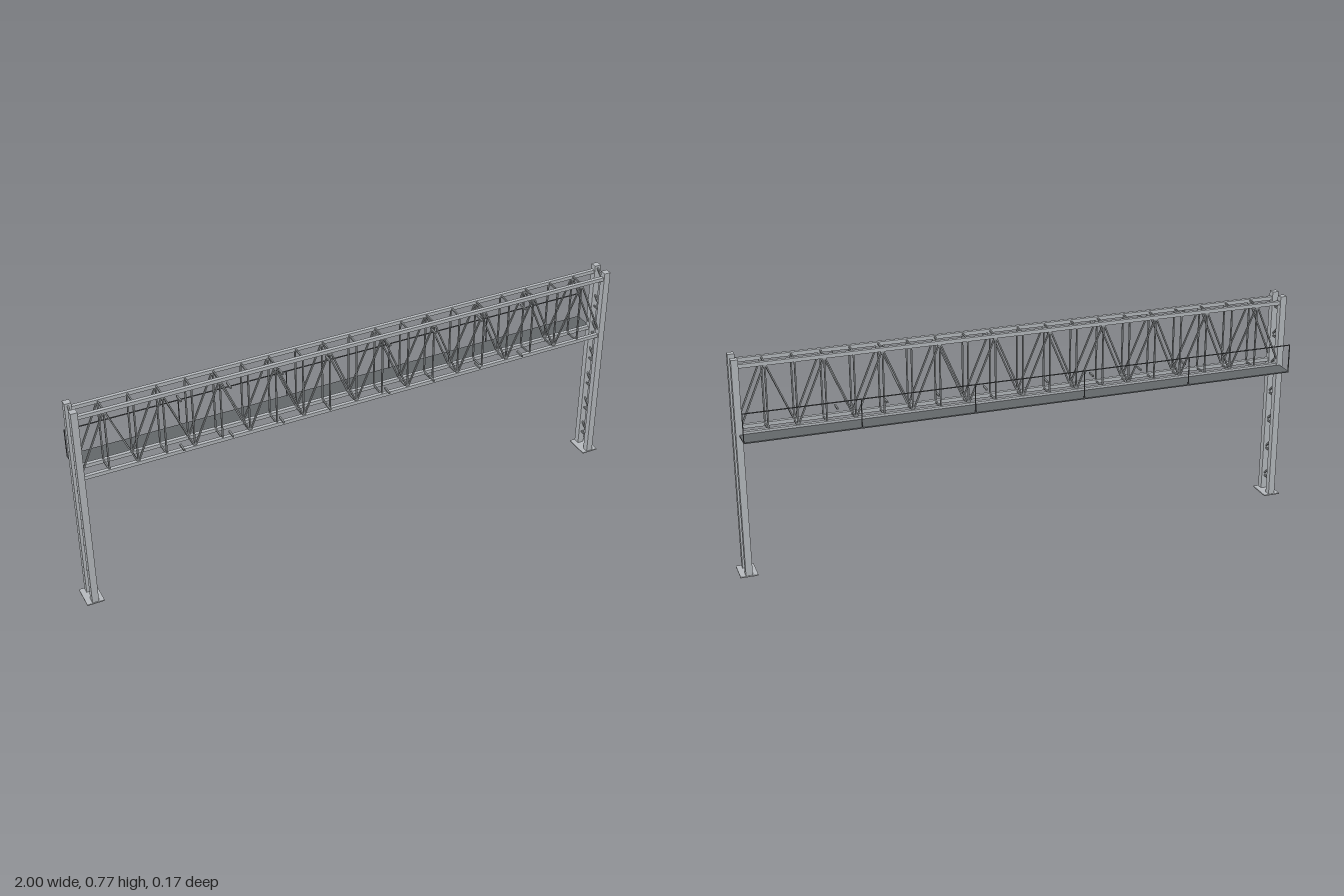
import * as THREE from 'three';

const mat = (name, color) => {
  const m = new THREE.MeshStandardMaterial({ color });
  m.name = name;
  return m;
};

export function createModel() {
  const model = new THREE.Group();
  model.name = 'overheadGantry';
  const steel = mat('galvanised steel', 0xb8bcc0);
  const webbing = mat('bracing steel', 0x8e9294);
  const grating = mat('walkway grating', 0x64686b);
  const railing = mat('railing steel', 0x64676a);

  const group = (name) => {
    const g = new THREE.Group();
    g.name = name;
    model.add(g);
    return g;
  };
  const box = (parent, name, material, size, pos) => {
    const m = new THREE.Mesh(new THREE.BoxGeometry(...size), material);
    m.name = name;
    m.position.set(...pos);
    parent.add(m);
    return m;
  };
  // Square bar between two points
  const bar = (parent, name, material, a, b, t) => {
    const p = new THREE.Vector3(...a), q = new THREE.Vector3(...b);
    const d = q.clone().sub(p);
    const m = box(parent, name, material, [t, d.length(), t], p.clone().add(q).multiplyScalar(0.5).toArray());
    m.quaternion.setFromUnitVectors(new THREE.Vector3(0, 1, 0), d.normalize());
  };

  const endX = 0.97, frontZ = 0.0545, rearZ = -0.0055, topY = 0.7415, lowY = 0.5105;

  // Twin-post towers with ladder bracing
  for (const side of [-1, 1]) {
    const x = side * endX;
    const tower = group(side > 0 ? 'leftTower' : 'rightTower');
    box(tower, 'basePlate', steel, [0.06, 0.004, 0.088], [x, 0.002, 0.0245]);
    for (const z of [frontZ, rearZ]) box(tower, 'post', steel, [0.023, 0.762, 0.023], [x, 0.385, z]);
    for (let i = 0; i < 7; i++) {
      const y = 0.055 + i * 0.1095;
      bar(tower, 'towerRung', webbing, [x, y, frontZ], [x, y, rearZ], 0.005);
      bar(tower, 'towerDiagonal', webbing, [x, y + 0.007, 0.047], [x, y + 0.045, 0.004], 0.005);
    }
  }

  // Truss chords
  const truss = group('truss');
  for (const z of [frontZ, rearZ])
    for (const y of [lowY, topY]) box(truss, 'chord', steel, [2 * endX, 0.013, 0.013], [0, y, z]);

  // Zigzag web, verticals and cross ties
  const step = endX / 10;
  for (let i = 0; i < 20; i++) {
    const x = -endX + i * step;
    const [y0, y1] = i % 2 ? [topY, lowY] : [lowY, topY];
    for (const z of [frontZ, rearZ]) {
      bar(truss, 'webDiagonal', webbing, [x, y0, z], [x + step, y1, z], 0.005);
      if (i > 0) bar(truss, 'webVertical', webbing, [x, lowY, z], [x, topY, z], 0.005);
    }
    if (i > 0)
      for (const y of [lowY, topY]) bar(truss, 'crossTie', webbing, [x, y, frontZ], [x, y, rearZ], 0.005);
  }

  // Short panel brackets on the front
  const brackets = group('signBrackets');
  for (const x of [0.11, 0.28, 0.46, 0.63])
    for (const s of [-1, 1])
      for (const y of [0.531, 0.721]) box(brackets, 'bracket', webbing, [0.006, 0.006, 0.035], [s * x, y, 0.068]);

  // Rear maintenance walkway with handrail
  const walkway = group('walkway');
  box(walkway, 'deck', grating, [2 * endX, 0.004, 0.07], [0, 0.508, -0.05]);
  box(walkway, 'handrail', railing, [2 * endX, 0.003, 0.003], [0, 0.608, -0.083]);
  for (let i = 0; i < 6; i++)
    box(walkway, 'railPost', railing, [0.003, 0.1, 0.003], [(-1 + i * 0.4) * (endX - 0.0015), 0.558, -0.083]);

  return model;
}
